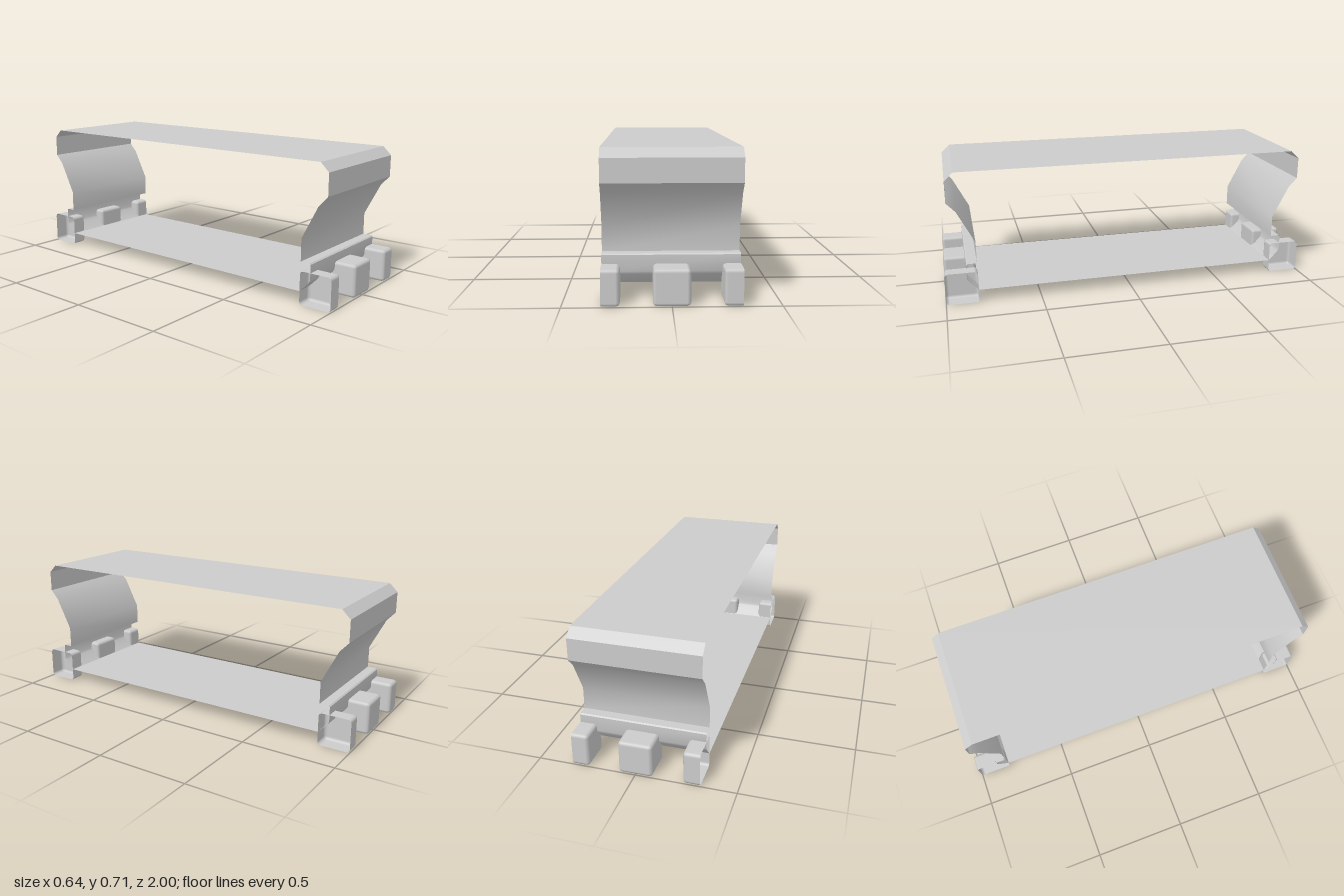
import * as THREE from 'three';
import { toCreasedNormals } from 'three/addons/utils/BufferGeometryUtils.js';
import { RoundedBoxGeometry } from 'three/addons/geometries/RoundedBoxGeometry.js';

const WIDTH = 0.644;
const BLOCK = 0.172;

// Front half of the side profile as [z, y], from the top edge down to the base
const PROFILE = [
  [0.92, 0.712], [0.965, 0.668], [0.965, 0.555], [0.918, 0.505], [0.83, 0.335],
  [0.83, 0.22], [0.879, 0.22], [0.885, 0.214], [0.885, 0.136], [0.878, 0.122], [0.827, 0.07],
];

// Thin open-sided shell: the profile, mirrored front to back, swept along x
function shellGeometry() {
  const back = PROFILE.map(([z, y]) => [-z, y]).reverse();
  const loop = [...PROFILE, ...back, PROFILE[0]];
  const geometry = new THREE.PlaneGeometry(WIDTH, 1, 1, loop.length - 1);
  const p = geometry.attributes.position;
  for (let i = 0; i < p.count; i++) {
    const [z, y] = loop[Math.floor(i / 2)];
    p.setXYZ(i, p.getX(i), y, z);
  }
  return toCreasedNormals(geometry, Math.PI / 6);
}

// Right half of a block (x >= 0), left open on its cut face
function halfBlockGeometry(full) {
  const geometry = full.clone();
  const p = geometry.attributes.position;
  const n = geometry.attributes.normal;
  const position = [];
  const normal = [];
  for (let i = 0; i < p.count; i += 3) {
    const corners = [i, i + 1, i + 2];
    if (corners.every((k) => p.getX(k) <= 1e-5)) continue;
    for (const k of corners) {
      position.push(Math.max(0, p.getX(k)), p.getY(k), p.getZ(k));
      normal.push(n.getX(k), n.getY(k), n.getZ(k));
    }
  }
  geometry.deleteAttribute('uv');
  geometry.setAttribute('position', new THREE.Float32BufferAttribute(position, 3));
  geometry.setAttribute('normal', new THREE.Float32BufferAttribute(normal, 3));
  geometry.clearGroups();
  return geometry;
}

export function createModel() {
  const model = new THREE.Group();
  model.name = 'modularWallSection';
  const material = new THREE.MeshStandardMaterial({ color: 0xcccccc, side: THREE.DoubleSide });

  const add = (name, geometry, x, y, z, turn = 0) => {
    const mesh = new THREE.Mesh(geometry, material);
    mesh.name = name;
    mesh.position.set(x, y, z);
    mesh.rotation.y = turn;
    model.add(mesh);
  };

  add('shell', shellGeometry(), 0, 0, 0);

  // Row of bevelled blocks along each foot, halved where the section ends
  const block = new RoundedBoxGeometry(BLOCK, BLOCK, BLOCK, 1, 0.017);
  const half = halfBlockGeometry(block);
  for (const [end, side] of [['front', 1], ['back', -1]]) {
    const z = side * (1 - BLOCK / 2);
    add(`${end}MiddleBlock`, block, 0, BLOCK / 2, z);
    add(`${end}RightBlock`, half, -WIDTH / 2, BLOCK / 2, z);
    add(`${end}LeftBlock`, half, WIDTH / 2, BLOCK / 2, z, Math.PI);
  }
  return model;
}
